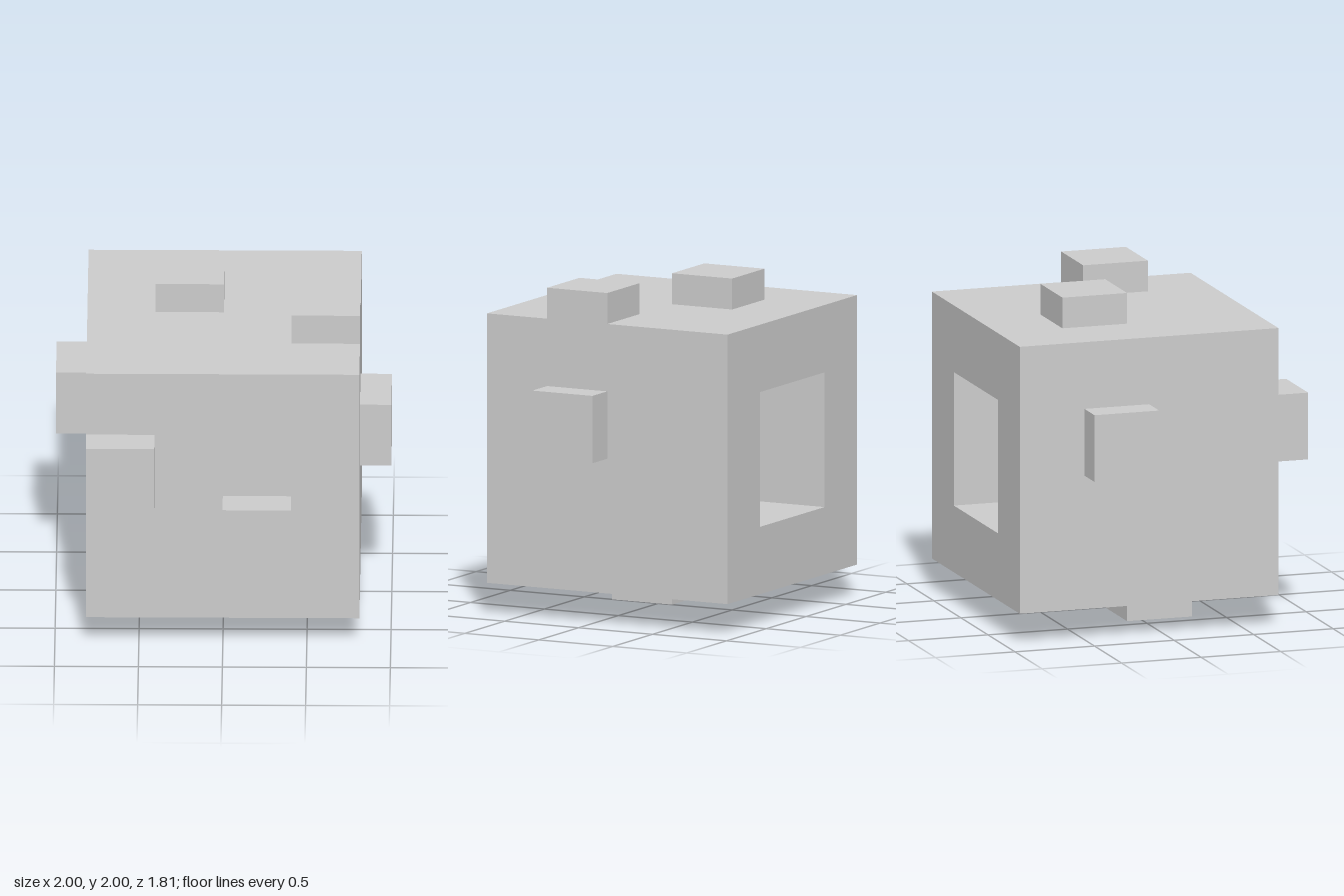
import * as THREE from 'three';

const U = 0.4066;             // grid cell: the cube is 4 cells wide
const HALF = 2 * U;
const PEG = 1 - HALF;         // how far a peg stands out
const CENTRE = new THREE.Vector3(0, 1, -PEG / 2);

const material = new THREE.MeshStandardMaterial({ color: 0xcccccc, flatShading: true });

// Cube with a square recess in its back: a closed four-sided lathe running front to back
function makeBody() {
  const r = HALF * Math.SQRT2;
  const profile = [
    [0, -HALF], [r, -HALF],              // front face
    [r, HALF], [r / 2, HALF],            // sides and back rim
    [r / 2, 0], [0, 0],                  // recess walls and floor
  ].map(([x, y]) => new THREE.Vector2(x, y));
  const geometry = new THREE.LatheGeometry(profile, 4, Math.PI / 4).toNonIndexed();
  geometry.rotateX(-Math.PI / 2);
  geometry.computeVertexNormals();
  const body = new THREE.Mesh(geometry, material);
  body.name = 'body';
  return body;
}

// One-cell peg on a face; cell holds the peg's centre in cells on the two other axes
function makePeg(name, axis, sign, cell) {
  const size = new THREE.Vector3(U, U, U);
  size[axis] = PEG;
  const peg = new THREE.Mesh(new THREE.BoxGeometry(size.x, size.y, size.z), material);
  for (const key in cell) peg.position[key] = cell[key] * U;
  peg.position[axis] = sign * (HALF + PEG / 2);
  peg.name = name;
  return peg;
}

export function createModel() {
  const model = new THREE.Group();
  model.name = 'peggedCube';
  const cube = new THREE.Group();
  cube.name = 'cube';
  cube.position.copy(CENTRE);
  cube.add(
    makeBody(),
    makePeg('frontUpperPeg', 'z', 1, { x: -1.5, y: 0.5 }),
    makePeg('frontLowerPeg', 'z', 1, { x: 0.5, y: -0.5 }),
    makePeg('leftPeg', 'x', 1, { y: 0.5, z: 0.5 }),
    makePeg('rightPeg', 'x', -1, { y: 0.5, z: -0.5 }),
    makePeg('topRearPeg', 'y', 1, { x: -0.5, z: -0.5 }),
    makePeg('topSidePeg', 'y', 1, { x: 1.5, z: 0.5 }),
    makePeg('bottomPeg', 'y', -1, { x: -0.5, z: 0.5 }),
  );
  model.add(cube);
  return model;
}
